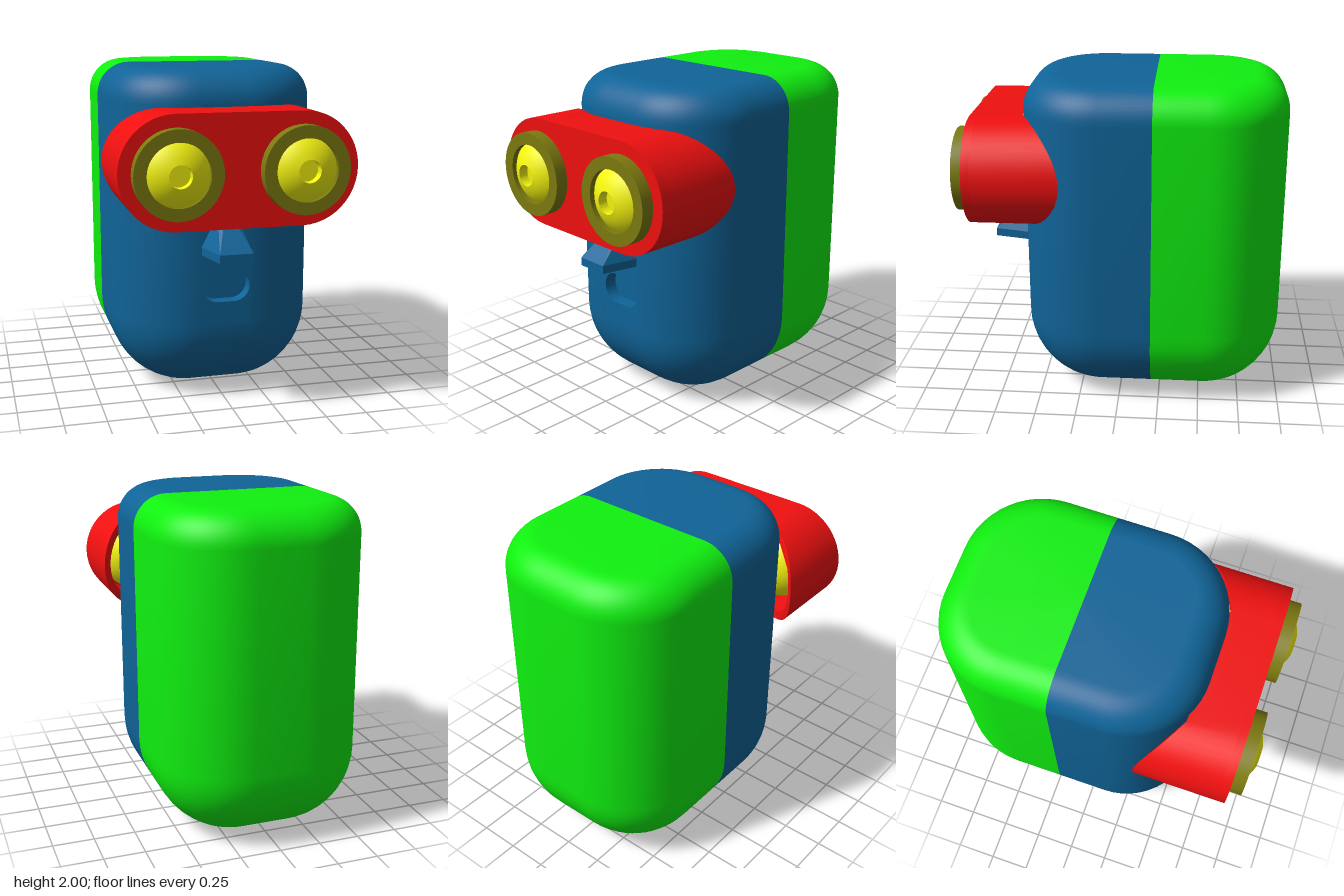
import * as THREE from 'three';
import { toCreasedNormals } from 'three/addons/utils/BufferGeometryUtils.js';
import { ConvexGeometry } from 'three/addons/geometries/ConvexGeometry.js';

const material = (color) => new THREE.MeshStandardMaterial({ color });
const BLUE = material(0x106498), GREEN = material(0x10f010), RED = material(0xf01010);
const YELLOW = material(0xf5f510), OLIVE = material(0x7d7a10);

// Head: half width, half depth, corner radius, top fillet, height, centre z
const W = 0.63, D = 0.8, R = 0.48, TOP = 0.2, H = 2, CZ = -0.2;
const EYE_X = 0.365, EYE_Y = 1.457;

function mesh(parent, name, geometry, mat) {
  const m = new THREE.Mesh(geometry, mat);
  m.name = name;
  parent.add(m);
  return m;
}

// Stadium outline: two half circles joined by subdivided straight edges
function stadium(half, r, cy = 0) {
  const pts = [], arc = 24, straight = 16;
  for (const s of [1, -1]) {
    for (let i = 0; i <= arc; i++) {
      const a = -Math.PI / 2 + (Math.PI * i) / arc;
      pts.push(new THREE.Vector2(s * (half + r * Math.cos(a)), cy + s * r * Math.sin(a)));
    }
    for (let i = 1; i < straight; i++) {
      pts.push(new THREE.Vector2(s * half * (1 - (2 * i) / straight), cy + s * r));
    }
  }
  return pts;
}

function circleHole(x, y, r) {
  return new THREE.Path().absarc(x, y, r, 0, Math.PI * 2, true);
}

// Half of the rounded head, facing +z; it may leave out the flat front panel
function halfHead(openFront) {
  const N = 12, rings = [];
  const ring = (d, y) => {
    const pts = [new THREE.Vector3(W - d, y, 0)];
    for (const s of [1, -1]) {
      for (let i = 0; i <= N; i++) {
        const a = (Math.PI / 2) * (s > 0 ? i / N : 1 - i / N);
        pts.push(new THREE.Vector3(
          s * (W - R + (R - d) * Math.cos(a)), y, D - R + (R - d) * Math.sin(a)));
      }
    }
    pts.push(new THREE.Vector3(-(W - d), y, 0));
    return pts;
  };
  const flat = (y) => ring(0, y).map(() => new THREE.Vector3(0, y, 0));
  rings.push(flat(0));
  for (let j = 0; j <= N; j++) {
    const a = (Math.PI / 2) * (j / N);
    rings.push(ring(R * (1 - Math.sin(a)), R * (1 - Math.cos(a))));
  }
  for (let j = 0; j <= N; j++) {
    const a = (Math.PI / 2) * (j / N);
    rings.push(ring(TOP * (1 - Math.cos(a)), H - TOP + TOP * Math.sin(a)));
  }
  rings.push(flat(H));

  const pos = [];
  const tri = (a, b, c) => {
    const area = b.clone().sub(a).cross(c.clone().sub(a)).length();
    if (area > 1e-9) for (const p of [a, b, c]) pos.push(p.x, p.y, p.z);
  };
  for (let j = 0; j < rings.length - 1; j++) {
    for (let i = 0; i < rings[j].length - 1; i++) {
      if (openFront && j === N + 1 && i === N + 1) continue;
      const a = rings[j][i], b = rings[j][i + 1];
      const c = rings[j + 1][i], d = rings[j + 1][i + 1];
      tri(a, c, b);
      tri(b, c, d);
    }
  }
  const g = new THREE.BufferGeometry();
  g.setAttribute('position', new THREE.Float32BufferAttribute(pos, 3));
  return toCreasedNormals(g, 0.5);
}

function addFace(group) {
  mesh(group, 'headFront', halfHead(true), BLUE).position.z = CZ;
  const back = mesh(group, 'headBack', halfHead(false), GREEN);
  back.position.z = CZ;
  back.rotation.y = Math.PI;

  // Flat face strip with the mouth cut out
  const w = W - R, z = CZ + D, depth = 0.08;
  const mouth = stadium(0.05, 0.095, 0.715);
  const panel = new THREE.Shape([
    new THREE.Vector2(-w, R), new THREE.Vector2(w, R),
    new THREE.Vector2(w, H - TOP), new THREE.Vector2(-w, H - TOP)]);
  panel.holes.push(new THREE.Path(mouth));
  mesh(group, 'facePanel', new THREE.ExtrudeGeometry(panel,
    { depth, bevelEnabled: false }), BLUE).position.z = z - depth;
  mesh(group, 'mouthFloor', new THREE.ShapeGeometry(new THREE.Shape(mouth)), BLUE)
    .position.z = z - depth;

  // Wedge nose, narrowing to the bridge
  const nose = [];
  for (const s of [1, -1]) {
    for (const y of [0.915, 0.965]) {
      nose.push(new THREE.Vector3(s * 0.1, y, 0.82), new THREE.Vector3(s * 0.155, y, 0.58));
    }
    nose.push(new THREE.Vector3(s * 0.01, 1.17, 0.61), new THREE.Vector3(s * 0.05, 1.17, 0.58));
  }
  mesh(group, 'nose', new ConvexGeometry(nose), BLUE);
}

function addGoggles(group) {
  const goggles = new THREE.Group();
  goggles.name = 'goggles';
  group.add(goggles);
  const r = 0.326, wall = 0.05, front = 0.89, plate = 0.05;
  const outline = stadium(EYE_X, r, EYE_Y);

  // Hollow shroud whose rear edge curves around the head
  const tube = new THREE.Shape(outline);
  tube.holes.push(new THREE.Path(stadium(EYE_X, r - wall, EYE_Y)));
  const shroud = new THREE.ExtrudeGeometry(tube, { depth: 1, bevelEnabled: false });
  const p = shroud.attributes.position;
  for (let i = 0; i < p.count; i++) {
    const x = p.getX(i);
    p.setZ(i, p.getZ(i) > 0.5 ? front - plate : Math.sqrt(0.852 - x * x) - 0.283);
  }
  mesh(goggles, 'goggleShroud', toCreasedNormals(shroud, 0.5), RED);

  // Front plate with two eye openings
  const face = new THREE.Shape(outline);
  for (const s of [1, -1]) face.holes.push(circleHole(s * EYE_X, EYE_Y, 0.2));
  const faceGeo = new THREE.ExtrudeGeometry(face,
    { depth: plate, bevelEnabled: false, curveSegments: 40 });
  mesh(goggles, 'gogglePlate', toCreasedNormals(faceGeo, 0.5), RED).position.z = front - plate;

  // Eyeballs with bored pupils, and the rims around them
  const lathe = (pts) => toCreasedNormals(
    new THREE.LatheGeometry(pts.map(([x, y]) => new THREE.Vector2(x, y)), 48), 0.5)
    .rotateX(Math.PI / 2);
  const ball = 0.256, pupil = 0.065, eye = [];
  const end = Math.PI - Math.asin(pupil / ball);
  for (let i = 0; i <= 24; i++) {
    const a = (end * i) / 24;
    eye.push([ball * Math.sin(a), -ball * Math.cos(a)]);
  }
  eye.push([pupil, 0.19], [0, 0.19]);
  const eyeGeo = lathe(eye);
  const rimGeo = lathe([[0.18, 0], [0.252, 0], [0.252, 0.076], [0.18, 0.076], [0.18, 0]]);
  for (const [side, s] of [['left', 1], ['right', -1]]) {
    mesh(goggles, side + 'Eye', eyeGeo, YELLOW).position.set(s * EYE_X, EYE_Y, 0.752);
    mesh(goggles, side + 'EyeRim', rimGeo, OLIVE).position.set(s * EYE_X, EYE_Y, front);
  }
}

export function createModel() {
  const group = new THREE.Group();
  group.name = 'goggledHead';
  addFace(group);
  addGoggles(group);
  return group;
}
